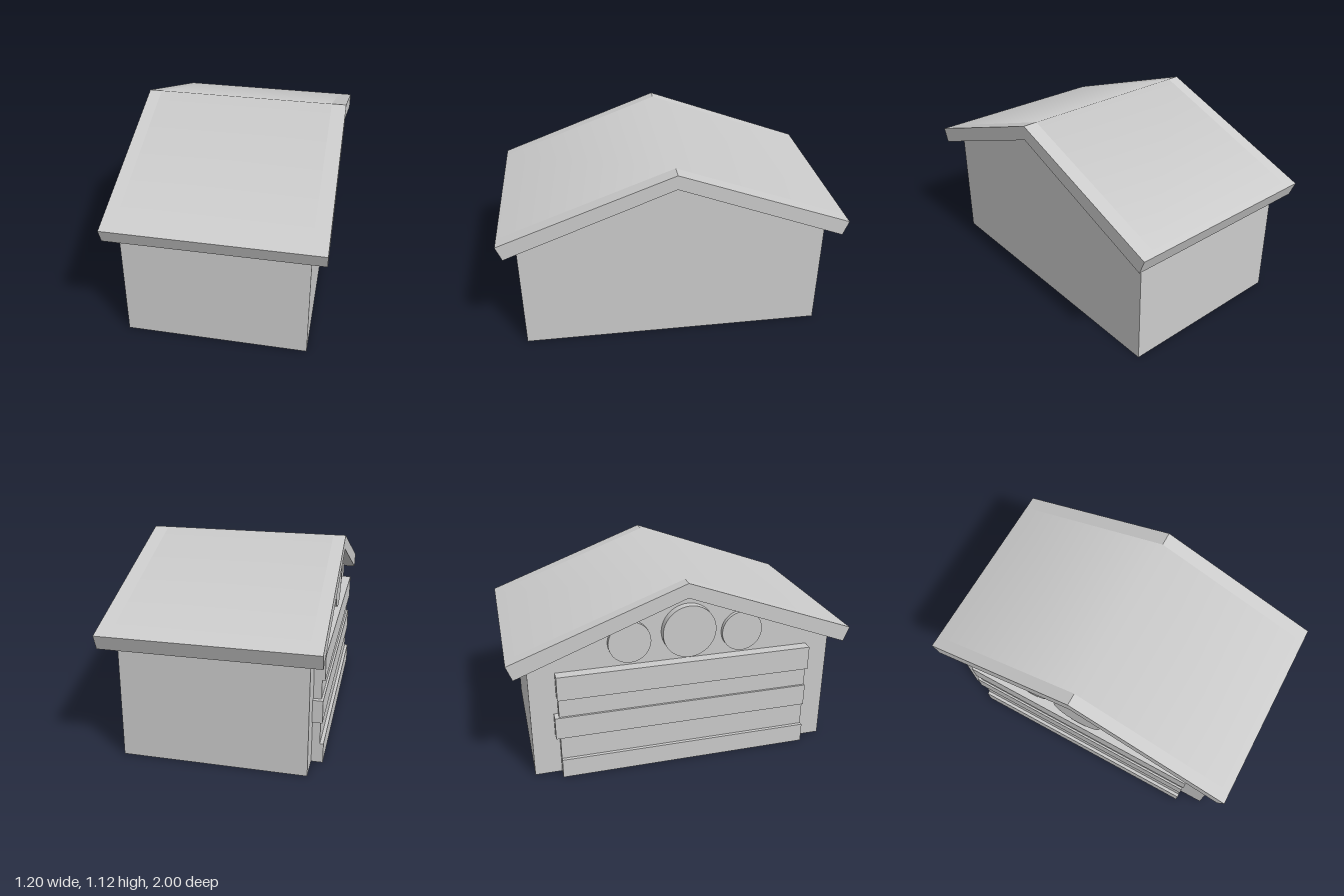
import * as THREE from 'three';

const grey = new THREE.MeshStandardMaterial({ color: 0xcccccc });

const RIDGE = 1.123;

// Extrude a (z, y) outline along x, from x0 to x1
function prism(points, x0, x1) {
  const shape = new THREE.Shape(points.map(([z, y]) => new THREE.Vector2(z, y)));
  const geometry = new THREE.ExtrudeGeometry(shape, { depth: x1 - x0, bevelEnabled: false });
  return geometry.rotateY(-Math.PI / 2).translate(x1, 0, 0);
}

// Box given by its limits on each axis
function boxBetween([x0, x1], [y0, y1], [z0, z1]) {
  return new THREE.BoxGeometry(x1 - x0, y1 - y0, z1 - z0)
    .translate((x0 + x1) / 2, (y0 + y1) / 2, (z0 + z1) / 2);
}

// Blend the two slopes softly across the ridge
function softenRidge(geometry) {
  const { position, normal } = geometry.attributes;
  for (let i = 0; i < position.count; i++) {
    if (position.getY(i) > RIDGE - 0.01 && normal.getY(i) > 0.1) normal.setXYZ(i, 0, 1, 0);
  }
  return geometry;
}

export function createModel() {
  const model = new THREE.Group();
  model.name = 'gabledShed';

  const add = (name, geometry, parent = model) => {
    const mesh = new THREE.Mesh(geometry, grey);
    mesh.name = name;
    parent.add(mesh);
    return mesh;
  };
  const addGroup = (name) => {
    const group = new THREE.Group();
    group.name = name;
    model.add(group);
    return group;
  };

  // Walls with a gable at each end of x
  add('walls', prism([
    [-0.89, 0], [0.9, 0], [0.9, 0.695], [0, 1.037], [-0.89, 0.699],
  ], -0.53, 0.515));

  // Roof: slopes over the walls and an overhang at either gable
  const roof = addGroup('roof');
  const roofOutline = [
    [-1, 0.753], [-0.967, 0.667], [0, 1.038], [0.967, 0.667], [1, 0.753], [0, RIDGE],
  ];
  add('roofSlopes', softenRidge(prism(roofOutline, -0.53, 0.515)), roof);
  add('rightOverhang', prism(roofOutline, -0.603, -0.53), roof);
  add('leftOverhang', prism(roofOutline, 0.515, 0.6), roof);

  // Wide door on the right gable, with three raised planks
  const door = addGroup('door');
  add('doorPanel', boxBetween([-0.575, -0.53], [0, 0.64], [-0.735, 0.75]), door);
  [
    ['bottomPlank', -0.595, [0, 0.116], [-0.735, 0.753]],
    ['middlePlank', -0.587, [0.257, 0.39], [-0.76, 0.753]],
    ['topPlank', -0.591, [0.502, 0.646], [-0.74, 0.757]],
  ].forEach(([name, x, y, z]) => add(name, boxBetween([x, -0.53], y, z), door));

  // Round plates in the gable above the door
  const plates = addGroup('gablePlates');
  [
    ['backPlate', -0.32, 0.79, 0.122, 0.025],
    ['centrePlate', 0.02, 0.825, 0.155, 0.045],
    ['frontPlate', 0.34, 0.785, 0.12, 0.025],
  ].forEach(([name, z, y, radius, depth]) => {
    const disc = new THREE.CylinderGeometry(radius, radius, depth, 48).rotateZ(Math.PI / 2);
    add(name, disc, plates).position.set(-0.53 - depth / 2, y, z);
  });

  return model;
}
